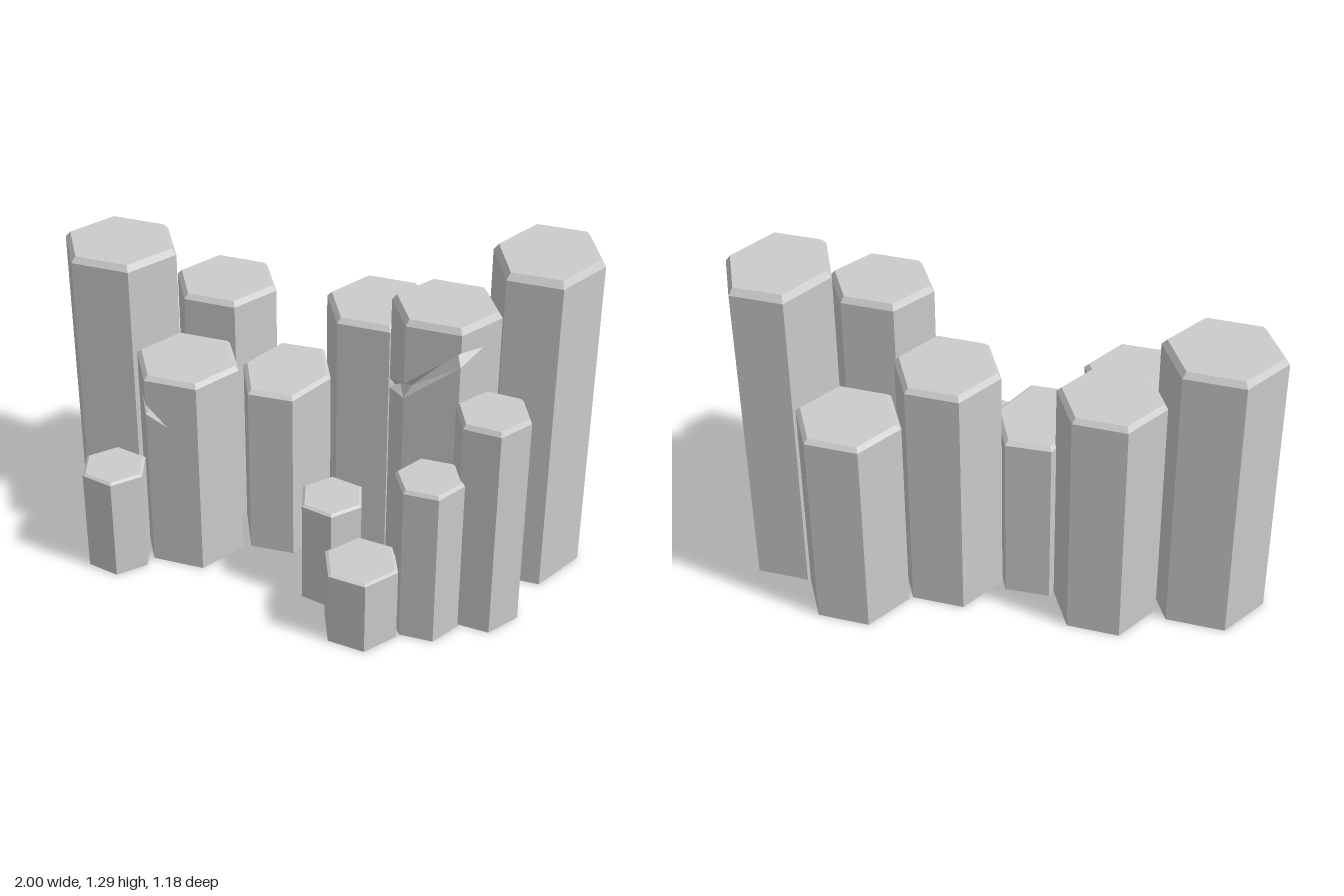
import * as THREE from 'three';

const material = new THREE.MeshStandardMaterial({ color: 0xcccccc, flatShading: true });

// Hexagonal column. A crack is a list of [t, low, high]: t counts corners from the
// right (+x) round through the front, low/high are the lips of the split.
function columnGeometry({ rx, rz, turn, h, crack = [] }) {
  const corner = (k) => {
    const a = THREE.MathUtils.degToRad(turn + 60 * k);
    return [rx * Math.cos(a), rz * Math.sin(a)];
  };
  const outline = (t) => {
    const k = Math.floor(t), f = t - k, a = corner(k), b = corner(k + 1);
    return [a[0] + (b[0] - a[0]) * f, a[1] + (b[1] - a[1]) * f];
  };

  // Perimeter samples: the six corners plus the ends of the crack
  const samples = crack.map(([t, low, high]) => ({ t, low, high }));
  for (let k = 0; k < 6; k++) {
    if (!samples.some((s) => s.t === k)) samples.push({ t: k, low: h * 0.75, high: h * 0.75 });
  }
  samples.sort((a, b) => a.t - b.t);
  const n = samples.length;

  // Horizontal rings: [height, scale towards the axis]
  const rings = [() => [0, 1]];
  if (crack.length) {
    rings.push(
      (s) => [s.low, 1],
      (s) => [s.low + (s.high - s.low) * 0.65, s.high > s.low ? 0.8 : 1],
      (s) => [s.high, 1]
    );
  }
  rings.push(() => [h * 0.981, 1], () => [h, 0.91]);

  const pos = [], index = [];
  for (const ring of rings) {
    for (const s of samples) {
      const [x, z] = outline(s.t), [y, k] = ring(s);
      pos.push(x * k, y, z * k);
    }
  }
  const bottom = pos.length / 3, top = bottom + 1, last = (rings.length - 1) * n;
  pos.push(0, 0, 0, 0, h, 0);
  for (let i = 0; i < n; i++) {
    const j = (i + 1) % n;
    for (let r = 0; r < last; r += n) {
      const a = r + i, b = r + j, c = b + n, d = a + n;
      index.push(a, d, c, a, c, b);
    }
    index.push(bottom, i, j, top, last + j, last + i);
  }
  const geometry = new THREE.BufferGeometry();
  geometry.setAttribute('position', new THREE.Float32BufferAttribute(pos, 3));
  geometry.setIndex(index);
  const flat = geometry.toNonIndexed();
  flat.computeVertexNormals();
  return flat;
}

const columns = [
  // Back row, from right to left of the model
  { name: 'tallEndColumn', x: -0.775, z: -0.02, rx: 0.225, rz: 0.215, turn: -2, h: 1.135 },
  { name: 'backColumn', x: -0.42, z: -0.18, rx: 0.2, rz: 0.2, turn: -2, h: 0.965 },
  { name: 'crackedShortColumn', x: -0.42, z: 0.185, rx: 0.2, rz: 0.2, turn: -3, h: 0.82,
    crack: [[1.6, 0.62, 0.62], [2, 0.66, 0.705], [2.4, 0.695, 0.695]] },
  { name: 'middleColumn', x: -0.12, z: -0.04, rx: 0.17, rz: 0.22, turn: -4, h: 0.71 },
  { name: 'innerColumn', x: 0.18, z: -0.205, rx: 0.2, rz: 0.21, turn: -2, h: 0.98 },
  { name: 'rearColumn', x: 0.485, z: -0.41, rx: 0.2, rz: 0.205, turn: -2, h: 0.83 },
  { name: 'crackedTallColumn', x: 0.505, z: 0.01, rx: 0.2, rz: 0.19, turn: -2, h: 1.15,
    crack: [[0.45, 1.045, 1.045], [1, 1.0, 1.06], [2, 0.835, 0.895], [3, 0.76, 0.8], [3.15, 0.76, 0.76]] },
  { name: 'tallestColumn', x: 0.8, z: -0.22, rx: 0.2, rz: 0.24, turn: -2, h: 1.295 },
  // Small columns in front
  { name: 'smallColumn', x: 0.745, z: 0.195, rx: 0.138, rz: 0.142, turn: 2, h: 0.87 },
  { name: 'smallColumn', x: 0.567, z: 0.335, rx: 0.127, rz: 0.127, turn: -3, h: 0.64 },
  { name: 'smallColumn', x: 0.362, z: 0.453, rx: 0.143, rz: 0.146, turn: 4, h: 0.3 },
  { name: 'smallColumn', x: 0.182, z: 0.275, rx: 0.124, rz: 0.127, turn: 10, h: 0.42 },
  { name: 'smallColumn', x: -0.642, z: 0.39, rx: 0.127, rz: 0.127, turn: 10, h: 0.42 },
];

export function createModel() {
  const group = new THREE.Group();
  group.name = 'rockColumns';
  for (const c of columns) {
    const mesh = new THREE.Mesh(columnGeometry(c), material);
    mesh.name = c.name;
    mesh.position.set(c.x, 0, c.z);
    group.add(mesh);
  }
  return group;
}
